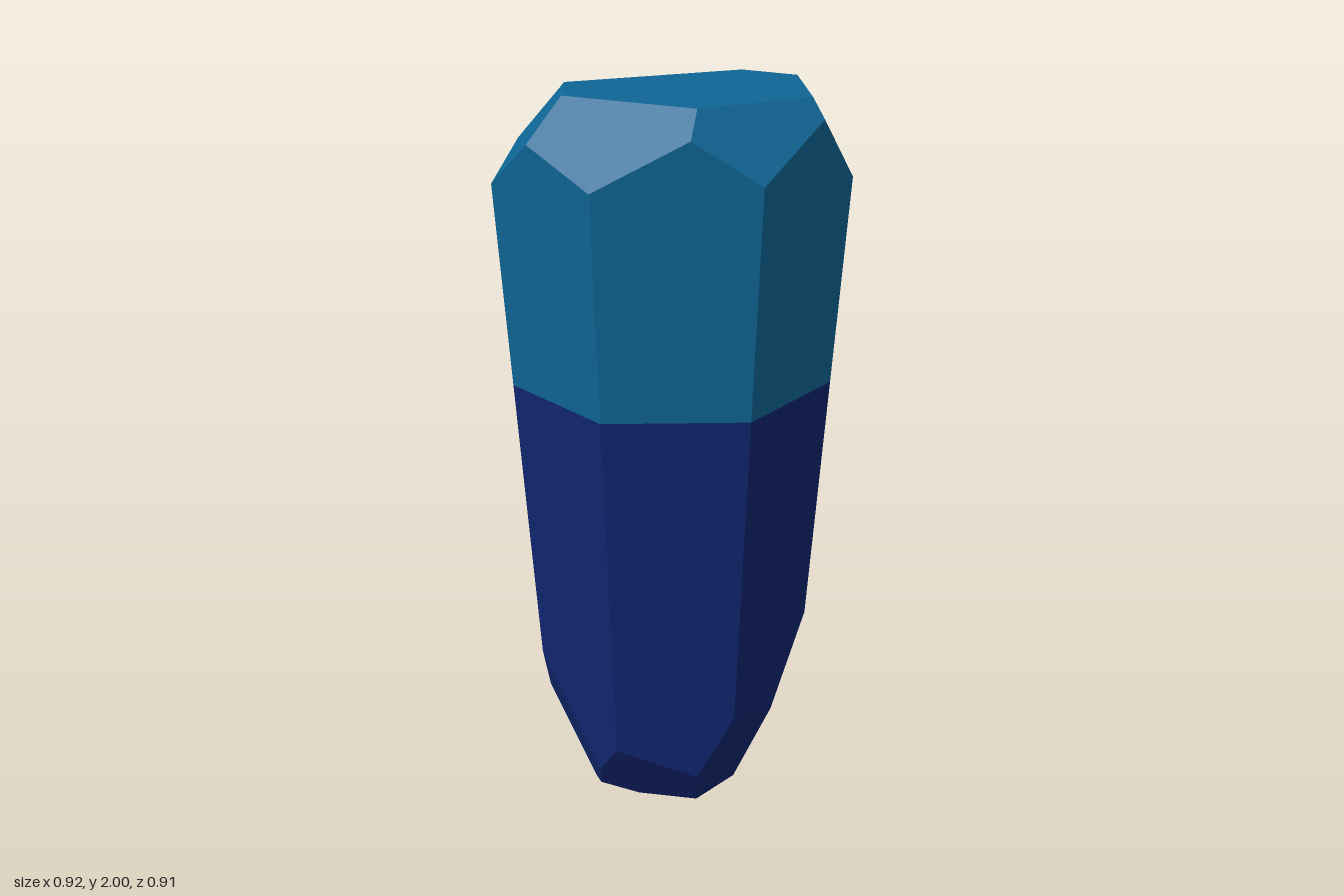
import * as THREE from 'three';

const SEAM = 1.22; // height where the two colours meet

// Half-spaces, stored as a plane whose normal points out of the crystal
const halfSpace = (x, y, z, limit) => {
  const n = new THREE.Vector3(x, y, z);
  const len = n.length();
  return { n: n.divideScalar(len), d: limit / len };
};

// Bevel rising or falling from a flat end: direction (dx, dz), distance of its inner edge, steepness
const topBevel = ([dx, dz, off, slope]) => {
  const h = Math.hypot(dx, dz);
  return halfSpace((slope * dx) / h, 1, (slope * dz) / h, 2 + slope * off);
};
const bottomBevel = ([dx, dz, off, slope]) => {
  const h = Math.hypot(dx, dz);
  return halfSpace((slope * dx) / h, -1, (slope * dz) / h, slope * off);
};

// Seven tapering side facets
function sideFacets() {
  const apothem = Math.cos(Math.PI / 7), zAxis = 0.02;
  return Array.from({ length: 7 }, (_, i) => {
    const a = ((i + 0.5) * 2 * Math.PI) / 7;
    const nx = Math.sin(a), nz = -Math.cos(a);
    return halfSpace(nx, -0.0655 * apothem, nz, 0.358 * apothem + nz * zAxis);
  });
}

// Flat-faced solid bounded by the planes; the faces of open planes are left out
function facetedGeometry(planes, open) {
  const eps = 1e-6, corners = [];
  const inside = (p) => planes.every((q) => q.n.dot(p) <= q.d + eps);
  for (let i = 0; i < planes.length; i++)
    for (let j = i + 1; j < planes.length; j++)
      for (let k = j + 1; k < planes.length; k++) {
        const [a, b, c] = [planes[i], planes[j], planes[k]];
        const bc = b.n.clone().cross(c.n);
        const det = a.n.dot(bc);
        if (Math.abs(det) < 1e-7) continue;
        const p = bc.multiplyScalar(a.d)
          .addScaledVector(c.n.clone().cross(a.n), b.d)
          .addScaledVector(a.n.clone().cross(b.n), c.d)
          .divideScalar(det);
        if (inside(p) && !corners.some((q) => q.distanceTo(p) < 1e-5)) corners.push(p);
      }

  const pos = [];
  for (const plane of planes) {
    if (plane === open) continue;
    const ring = corners.filter((p) => Math.abs(plane.n.dot(p) - plane.d) < 1e-5);
    if (ring.length < 3) continue;
    // order the corners anticlockwise around the facet
    const mid = ring.reduce((s, p) => s.add(p), new THREE.Vector3()).divideScalar(ring.length);
    const u = ring[0].clone().sub(mid).normalize();
    const v = plane.n.clone().cross(u);
    const angle = (p) => {
      const r = p.clone().sub(mid);
      return Math.atan2(r.dot(v), r.dot(u));
    };
    ring.sort((p, q) => angle(p) - angle(q));
    for (let i = 1; i < ring.length - 1; i++)
      for (const p of [ring[0], ring[i], ring[i + 1]]) pos.push(p.x, p.y, p.z);
  }
  const geo = new THREE.BufferGeometry();
  geo.setAttribute('position', new THREE.Float32BufferAttribute(pos, 3));
  geo.computeVertexNormals();
  return geo;
}

export function createModel() {
  const teal = new THREE.MeshStandardMaterial({ name: 'teal', color: 0x0f6696 });
  const navy = new THREE.MeshStandardMaterial({ name: 'navy', color: 0x10266f });
  const sides = sideFacets();

  // Crown: flat top with six cut corners
  const crown = [
    halfSpace(0, 1, 0, 2),
    ...[
      [-0.396, -0.918, 0.127, 1.03], // back
      [0.581, -0.814, 0.299, 1.03], // back left
      [1, 0, 0.34, 1.79], // left
      [0.483, 0.876, 0.37, 1.41], // front left
      [-0.524, 0.852, 0.31, 1.04], // front right
      [-1, 0, 0.275, 1.24], // right
    ].map(topBevel),
  ];

  // Root: small flat base with steep irregular cuts
  const root = [
    halfSpace(0, -1, 0, 0),
    ...[
      [1, 0, 0.18, 2.54], // left
      [0.707, 0.707, 0.244, 2.5], // front left
      [-0.21, 0.978, 0.26, 1.78], // front
      [-0.9, 0.43, 0.284, 4], // front right
      [-0.965, -0.263, 0.124, 1.3], // right
      [0.293, -0.956, 0.215, 2.46], // back
      [-0.508, -0.861, 0.186, 1.9], // back right
      [-0.971, -0.238, 0.039, 0.355], // shallow chip beside the base
    ].map(bottomBevel),
  ];

  const above = halfSpace(0, -1, 0, -SEAM);
  const below = halfSpace(0, 1, 0, SEAM);
  const upper = new THREE.Mesh(facetedGeometry([...sides, ...crown, above], above), teal);
  upper.name = 'upperCrystal';
  const lower = new THREE.Mesh(facetedGeometry([...sides, ...root, below], below), navy);
  lower.name = 'lowerCrystal';

  const model = new THREE.Group();
  model.name = 'crystal';
  model.add(upper, lower);
  return model;
}
